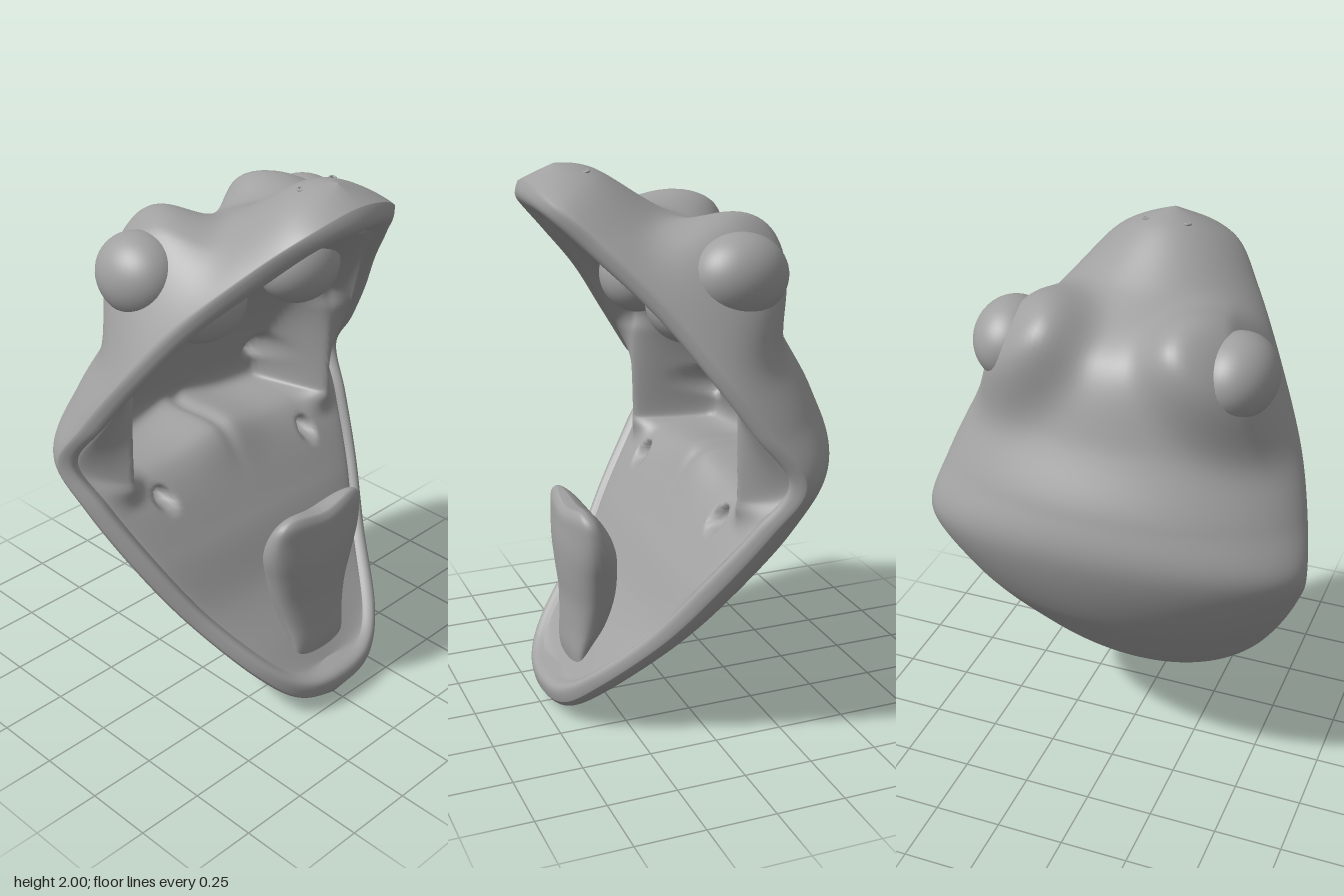
import * as THREE from 'three';

// Stations from chin tip, round the jaw corner, to snout tip:
// outer lip (half width, y, z), outer midline (y, z), inner lip (half width, y, z), inner midline (y, z)
const STATIONS = [
  [0, .06, .497, 0, .455, 0, .135, .455, .145, .42],
  [.185, .085, .467, .008, .40, .14, .147, .44, .157, .41],
  [.32, .20, .37, .09, .27, .25, .22, .37, .25, .335],
  [.46, .40, .18, .28, .02, .39, .41, .19, .42, .195],
  [.57, .61, .03, .47, -.17, .50, .62, .05, .64, .065],
  [.66, .83, -.12, .74, -.39, .59, .84, -.10, .87, -.13],
  [.705, 1.0, -.22, 1.03, -.505, .64, 1.0, -.195, .90, -.40],
  [.67, 1.17, -.12, 1.22, -.475, .60, 1.17, -.08, 1.12, -.34],
  [.60, 1.36, .01, 1.42, -.375, .525, 1.34, .03, 1.35, -.20],
  [.48, 1.57, .16, 1.69, -.25, .40, 1.54, .17, 1.55, -.02],
  [.33, 1.77, .34, 1.84, .04, .25, 1.71, .33, 1.72, .20],
  [.20, 1.895, .465, 1.975, .26, .14, 1.82, .435, 1.80, .36],
  [0, 1.945, .5, 1.998, .40, 0, 1.845, .475, 1.82, .41],
];

// Smooth interpolation; widths mirror through zero at both tips
function station(u) {
  const n = STATIONS.length - 1;
  const i = Math.min(Math.floor(u * n), n - 1), f = u * n - i;
  const get = (k, c) => {
    if (k >= 0 && k <= n) return STATIONS[k][c];
    const v = STATIONS[k < 0 ? -k : 2 * n - k][c];
    return c === 0 || c === 5 ? -v : v;
  };
  return STATIONS[0].map((_, c) => {
    const [a, b, d, e] = [-1, 0, 1, 2].map(o => get(i + o, c));
    return b + .5 * f * (d - a + f * (2 * a - 5 * b + 4 * d - e + f * (3 * (b - d) + e - a)));
  });
}

// Closed-ring loft: every row is an array of [x, y, z]
function loft(rows) {
  const n = rows[0].length, index = [];
  for (let i = 0; i < rows.length - 1; i++) {
    for (let j = 0; j < n; j++) {
      const a = i * n + j, b = i * n + (j + 1) % n;
      index.push(a, b, a + n, b, b + n, a + n);
    }
  }
  const geo = new THREE.BufferGeometry();
  geo.setAttribute('position', new THREE.Float32BufferAttribute(rows.flat(2), 3));
  geo.setIndex(index);
  geo.computeVertexNormals();
  return geo;
}

const { lerp: mix, smoothstep, clamp } = THREE.MathUtils;
const gauss = v => Math.exp(-v * v);

// Raised brow behind each eye
function brow([x, y, z], s) {
  const a = (Math.abs(x) - .36) / .23;
  const b = ((y - 1.66) * .65 + (z + .12) * .76) / .23;
  const h = .165 * gauss(a * a + b * b) * Math.min(1, s * 2);
  return [x, y + h * .74, z - h * .67];
}

// Mouth openings: x, y, radius, depth
const PITS = [[.38, 1.05, .048, .06], [.37, .79, .033, .07], [.17, 1.755, .025, .05], [.06, 1.745, .022, .05]];

// Cheek membranes, throat edge and pits in the mouth lining
function lining([x, y, z], lipWidth, lipZ) {
  const ax = Math.abs(x);
  const gate = smoothstep(y, .74, .88) * (1 - smoothstep(y, 1.25, 1.42));
  const membrane = mix(lipZ, -.06, clamp((lipWidth - ax) / Math.max(.03, lipWidth - .5), 0, 1));
  z = mix(z, Math.max(z, membrane), gate * smoothstep(ax, .38, .51));
  const edge = .045 * gauss(x / .17) - .018 * gauss(x / .03);
  let push = 0;
  for (const [px, py, r, depth] of PITS) push += depth * gauss(((ax - px) / r) ** 2 + ((y - py) / r) ** 2);
  return [x, y + edge * gauss((y - .88) / .07) + (y > 1.5 ? push * .5 : 0), z - push];
}

function headGeometry() {
  const ROWS = 190, OUT = 72, LIP = 8, IN = 120, rows = [];
  for (let i = 0; i <= ROWS; i++) {
    const [w, ry, rz, my, mz, wi, iy, iz, ny, nz] = station(i / ROWS);
    const ring = [];
    for (let j = 0; j <= OUT; j++) {
      const t = Math.PI * j / OUT, s = Math.max(0, Math.sin(t)) ** 1.18;
      ring.push(brow([w * Math.cos(t), mix(ry, my, s), mix(rz, mz, s)], s));
    }
    // rounded lip between skin and lining
    let dy = (ry + iy - my - ny) / 2, dz = (rz + iz - mz - nz) / 2;
    const l = Math.hypot(dy, dz);
    dy /= l; dz /= l;
    const lip = (side, k) => {
      const s = k / LIP, b = .028 * Math.sin(Math.PI * s);
      return [side * mix(w, wi, s), mix(ry, iy, s) + b * dy, mix(rz, iz, s) + b * dz];
    };
    for (let k = 1; k < LIP; k++) ring.push(lip(-1, k));
    for (let j = 0; j <= IN; j++) {
      const t = Math.PI * (1 - j / IN), s = Math.max(0, Math.sin(t)) ** .85;
      ring.push(lining([wi * Math.cos(t), mix(iy, ny, s), mix(iz, nz, s)], wi, iz));
    }
    for (let k = LIP - 1; k > 0; k--) ring.push(lip(1, k));
    rows.push(ring);
  }
  return loft(rows);
}

// Tongue sections: y, half width, front z, back z
function tongueGeometry() {
  const path = [
    [.13, .115, .385, .35], [.22, .125, .40, .33], [.32, .145, .40, .26], [.42, .17, .40, .225], [.52, .195, .41, .215],
    [.62, .22, .415, .225], [.70, .222, .41, .26], [.76, .205, .405, .30], [.79, .16, .39, .335], [.795, .08, .375, .355],
    [.795, 0, .365, .365],
  ];
  const curveA = new THREE.CatmullRomCurve3(path.map(p => new THREE.Vector3(p[1], p[0], p[2])));
  const curveB = new THREE.CatmullRomCurve3(path.map(p => new THREE.Vector3(p[1], p[0], p[3])));
  const rows = [];
  for (let i = 0; i <= 50; i++) {
    const a = curveA.getPoint(i / 50), b = curveB.getPoint(i / 50), ring = [];
    for (let j = 0; j < 40; j++) {
      const t = j / 40 * Math.PI * 2, c = Math.cos(t);
      const x = a.x * Math.sin(t);
      const notch = .025 * gauss(x / .1) * smoothstep(a.y, .65, .8);
      ring.push([x, a.y - notch, (a.z + b.z) / 2 + (a.z - b.z) / 2 * Math.sign(c) * Math.abs(c) ** .8]);
    }
    rows.push(ring);
  }
  return loft(rows);
}

export function createModel() {
  const group = new THREE.Group();
  const skin = new THREE.MeshStandardMaterial({ color: 0xa0a0a0 });
  skin.name = 'grey skin';
  const add = (name, geo, pos = [0, 0, 0], scale = [1, 1, 1]) => {
    const mesh = new THREE.Mesh(geo, skin);
    mesh.name = name;
    mesh.position.set(...pos);
    mesh.scale.set(...scale);
    group.add(mesh);
    return mesh;
  };

  add('head', headGeometry());
  add('tongue', tongueGeometry());

  const ball = new THREE.SphereGeometry(1, 40, 28);
  const ring = new THREE.TorusGeometry(.011, .004, 8, 20);
  for (const [side, label] of [[1, 'left'], [-1, 'right']]) {
    add(label + 'Eye', ball, [side * .4, 1.655, -.11], [.138, .145, .17]).rotation.y = side * .12;
    // eye sockets bulging into the roof of the mouth
    add(label + 'PalateBulge', ball, [side * .235, 1.54, .02], [.165, .135, .13]);
    add(label + 'Nostril', ring, [side * .075, 1.975, .31]).rotation.x = -1.4;
  }
  return group;
}
